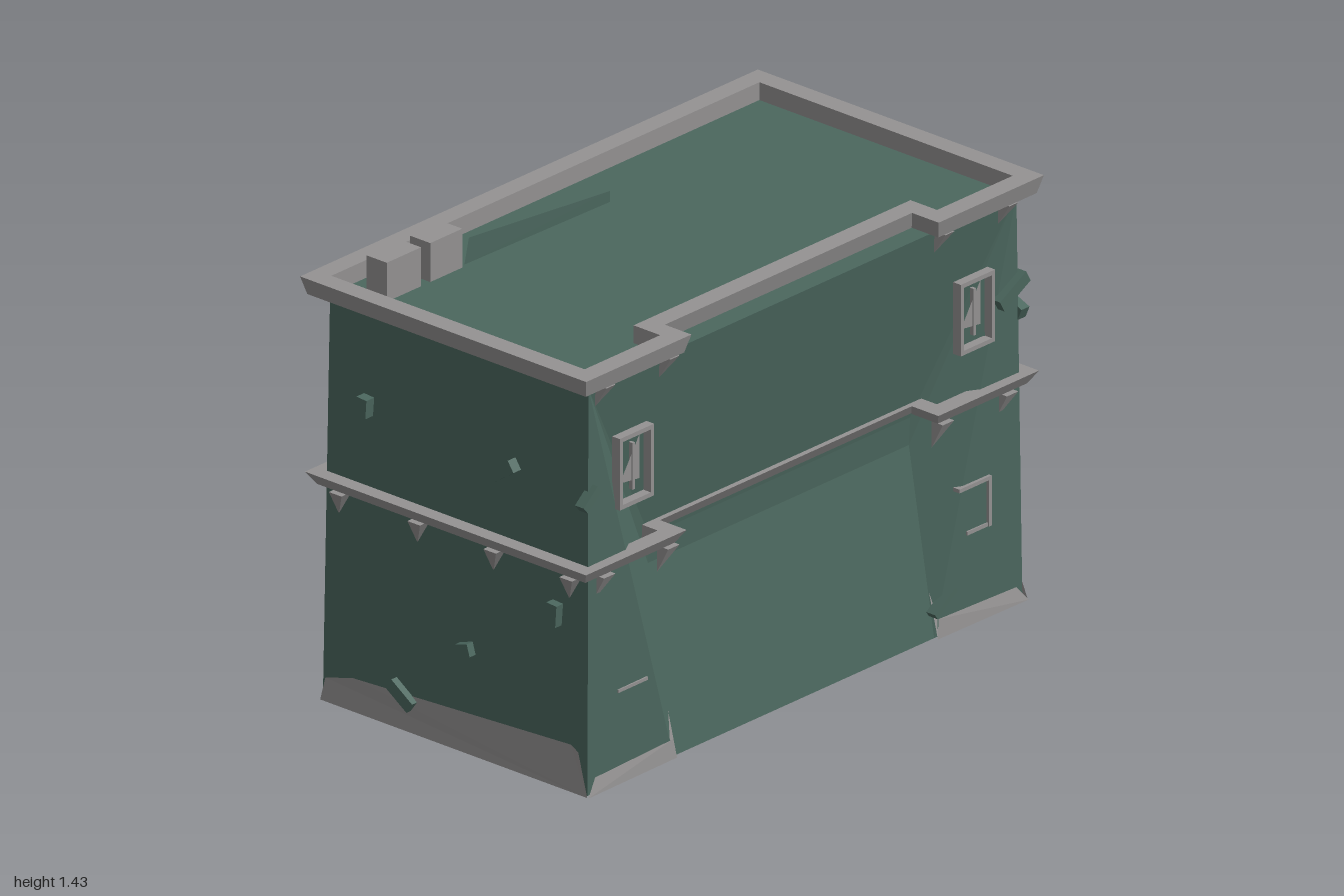
import * as THREE from 'three';

const green = new THREE.MeshStandardMaterial({ name: 'greenWall', color: 0x4b675e, flatShading: true, side: THREE.DoubleSide });
const grey = new THREE.MeshStandardMaterial({ name: 'greyTrim', color: 0x949292, flatShading: true, side: THREE.DoubleSide });

// Mesh from flat polygons, each fanned into triangles
function facets(name, mat, polys) {
  const pos = [];
  for (const p of polys)
    for (let i = 1; i < p.length - 1; i++) pos.push(...p[0], ...p[i], ...p[i + 1]);
  const g = new THREE.BufferGeometry();
  g.setAttribute('position', new THREE.Float32BufferAttribute(pos, 3));
  g.computeVertexNormals();
  const m = new THREE.Mesh(g, mat);
  m.name = name;
  return m;
}

function box(name, mat, w, h, d, x, y, z) {
  const m = new THREE.Mesh(new THREE.BoxGeometry(w, h, d), mat);
  m.name = name;
  m.position.set(x, y, z);
  return m;
}

// Plan outline: x, z and the outward offset direction at each corner
const outline = [
  [0.94, -0.505, 1, -1], [0.94, 0.505, 1, 1], [0.6, 0.505, -1, 1], [0.6, 0.4, -1, 1],
  [-0.6, 0.4, 1, 1], [-0.6, 0.505, 1, 1], [-0.94, 0.505, -1, 1], [-0.94, -0.505, -1, -1],
];

// Sweep a closed section of [offset, y] around the outline
function band(name, section) {
  const at = ([x, z, sx, sz], [o, y]) => [x + sx * o, y, z + sz * o];
  const polys = [];
  outline.forEach((a, i) => {
    const b = outline[(i + 1) % outline.length];
    section.forEach((s, j) => {
      const t = section[(j + 1) % section.length];
      polys.push([at(a, s), at(a, t), at(b, t), at(b, s)]);
    });
  });
  return facets(name, grey, polys);
}

// Triangular bracket hanging from a ledge; angle turns it to its wall
function bracket(x, z, y, angle, h = 0.085, w = 0.05, d = 0.045) {
  const a = [-w / 2, 0, 0], b = [w / 2, 0, 0], c = [-w / 2, -h, 0], e = [-w / 2, 0, d], f = [w / 2, 0, d];
  const m = facets('bracket', grey, [[a, e, f, b], [a, c, e], [e, c, f], [f, c, b]]);
  m.position.set(x, y, z);
  m.rotation.y = angle;
  return m;
}

// Rectangular frame of four bars
function frame(name, x, y, z, w, h, t = 0.014) {
  const g = new THREE.Group();
  g.name = name;
  for (const s of [-1, 1]) {
    g.add(box('frameSide', grey, t, h, 0.03, x + s * (w - t) / 2, y, z));
    g.add(box('frameRail', grey, w, t, 0.03, x, y + s * (h - t) / 2, z));
  }
  return g;
}

export function createModel() {
  const root = new THREE.Group();
  root.name = 'building';
  const H = 1.3;

  // Outer shell, open below
  const top = (x, z) => [x, H, z], low = (x, z) => [x, 0, z];
  const T = [top(-0.935, 0.515), top(0.935, 0.515), top(0.935, -0.505), top(-0.935, -0.505)];
  const B = [low(-0.95, 0.525), low(0.95, 0.525), low(0.95, -0.52), low(-0.95, -0.52)];
  root.add(facets('roof', green, [T]));
  root.add(facets('sideAndBackWalls', green, [1, 2, 3].map(i => [B[i], B[(i + 1) % 4], T[(i + 1) % 4], T[i]])));

  // Folded front wall, pinched inwards below the middle ledge
  const k = [-1, 1].map(s => ({ foot: [s * 0.57, 0, 0.52], sill: [s * 0.57, 0.59, 0.42], over: [s * 0.57, 0.68, 0.425] }));
  root.add(facets('frontWall', green, [
    [k[0].foot, k[1].foot, k[1].sill, k[0].sill],
    [k[0].sill, k[1].sill, k[1].over, k[0].over],
    [k[0].over, k[1].over, T[1], T[0]],
    [B[0], k[0].foot, T[0]], [k[0].foot, k[0].sill, T[0]], [k[0].sill, k[0].over, T[0]],
    [k[1].foot, B[1], T[1]], [k[1].sill, k[1].foot, T[1]], [k[1].over, k[1].sill, T[1]],
  ]));

  // Parapet and middle ledge
  root.add(band('parapet', [[-0.005, H], [0.045, H], [0.06, 1.357], [-0.005, 1.357]]));
  root.add(band('middleLedge', [[-0.01, 0.685], [0.025, 0.69], [0.05, 0.73], [-0.01, 0.73]]));

  // Brackets
  for (const x of [-0.88, -0.6, 0.6, 0.88]) {
    root.add(bracket(x, 0.505, 0.69, 0), bracket(x, -0.505, 0.69, Math.PI));
    root.add(bracket(x, 0.51, H, 0, 0.07, 0.04), bracket(x, -0.505, H, Math.PI, 0.05, 0.03));
  }
  for (const z of [0.47, 0.17, -0.13, -0.44])
    for (const s of [-1, 1]) root.add(bracket(s * 0.94, z, 0.69, s * Math.PI / 2));

  // Plinth on the sides and front wings
  for (const s of [-1, 1]) {
    const x = s * 0.962;
    root.add(facets('sidePlinth', grey, [
      [[x, 0, 0.535], [x, 0, -0.52], [s * 0.95, 0.07, -0.51], [s * 0.95, 0.1, -0.4], [s * 0.95, 0.145, 0.46], [s * 0.952, 0.13, 0.49]],
    ]));
    root.add(facets('frontPlinth', grey, [
      [[x, 0, 0.54], [s * 0.57, 0, 0.535], [s * 0.58, 0.06, 0.528], [s * 0.92, 0.05, 0.528]],
      [[s * 0.57, 0, 0.535], [s * 0.57, 0.14, 0.5], [s * 0.585, 0.06, 0.52]],
    ]));
  }

  // Upper windows with a slanted pane, and partial lower frames
  for (const s of [-1, 1]) {
    const x = s * 0.745;
    root.add(frame('upperWindow', x, 0.99, 0.52, 0.15, 0.23));
    root.add(facets('windowPane', grey, [
      [[x - 0.055, 0.95, 0.517], [x + 0.03, 0.94, 0.517], [x + 0.03, 1.08, 0.517]],
    ]));
    root.add(box('windowMullion', grey, 0.01, 0.15, 0.015, x, 0.99, 0.515));
  }
  root.add(box('lowerFrameTop', grey, 0.14, 0.012, 0.03, 0.74, 0.44, 0.515));
  root.add(box('lowerFrameSide', grey, 0.012, 0.16, 0.03, 0.805, 0.365, 0.515));
  root.add(box('lowerFrameSill', grey, 0.1, 0.012, 0.02, 0.76, 0.29, 0.515));
  root.add(box('lowerFrameSill', grey, 0.13, 0.01, 0.02, -0.75, 0.29, 0.515));

  // Roof vents and a thin sloping fin beside them
  root.add(box('roofVent', grey, 0.15, 0.13, 0.08, -0.795, 1.36, -0.38));
  root.add(box('roofVent', grey, 0.14, 0.13, 0.08, -0.61, 1.36, -0.38));
  root.add(facets('roofFin', green, [
    [[-0.52, H, -0.35], [0.1, 1.335, -0.335], [-0.5, 1.38, -0.35]],
    [[-0.52, H, -0.35], [0.1, H, -0.335], [0.1, 1.335, -0.335]],
  ]));

  // Doors and low panels set behind the front wall
  for (const x of [-0.06, -0.26]) {
    root.add(box('door', grey, 0.18, 0.48, 0.02, x, 0.25, 0.4));
    root.add(box('doorPanel', green, 0.08, 0.1, 0.008, x, 0.13, 0.388));
  }
  root.add(box('lowPanel', grey, 0.34, 0.13, 0.02, 0.28, 0.08, 0.44));
  root.add(box('lowPanel', grey, 0.32, 0.13, 0.02, -0.62, 0.08, 0.48));
  root.add(frame('innerWindow', -0.54, 0.32, 0.41, 0.15, 0.16));
  root.add(box('leaningBeam', green, 0.06, 0.4, 0.03, -0.72, 0.3, 0.4));

  // Loose chips on the walls: position, length, height, turn in the wall plane
  const chip = (x, y, z, l, h, yaw, tilt) => {
    const m = box('wallChip', green, l, h, 0.035, x, y, z);
    m.rotation.set(0, yaw, tilt, 'YXZ');
    root.add(m);
  };
  const right = Math.PI / 2;
  for (const [y, z, l, t] of [[0.94, 0.47, 0.12, 0.4], [0.82, -0.46, 0.13, 0.45], [0.115, -0.41, 0.12, 0.4], [0.095, -0.02, 0.1, 0], [0.13, 0.27, 0.06, 0.3]])
    chip(0.955, y, z, l, 0.04, right, t);
  for (const [y, z, l, t] of [[0.95, 0.2, 0.1, 0.6], [0.99, -0.35, 0.06, 1.5], [0.55, 0.4, 0.07, 1.5], [0.33, 0.05, 0.05, 0.3], [0.11, -0.2, 0.1, -0.6]])
    chip(-0.955, y, z, l, 0.04, -right, t);
  for (const [x, y, t] of [[0.62, 1.12, 0.2], [-0.6, 1.09, -0.5], [-0.88, 0.82, 1.4], [0.35, 0.55, 0.3], [-0.4, 0.1, 0]])
    chip(x, y, -0.515, 0.09, 0.045, Math.PI, t);
  chip(0.9, 1.01, 0.525, 0.13, 0.04, 0, 0.5);
  chip(-0.94, 0.95, 0.52, 0.08, 0.03, 0, 0.7);
  chip(0.6, 0.11, 0.525, 0.11, 0.02, 0, 0.6);

  // Row of loose slabs along the foot of the walls
  for (const z of [0.31, 0.18, 0.05, -0.08, -0.35]) chip(0.965, 0.017, z, 0.12, 0.033, right, 0);
  for (let i = 0; i < 8; i++) chip(0.7 - i * 0.2, 0.02, -0.52, 0.07, 0.03, Math.PI, i % 2 ? 0.15 : -0.1);

  return root;
}
